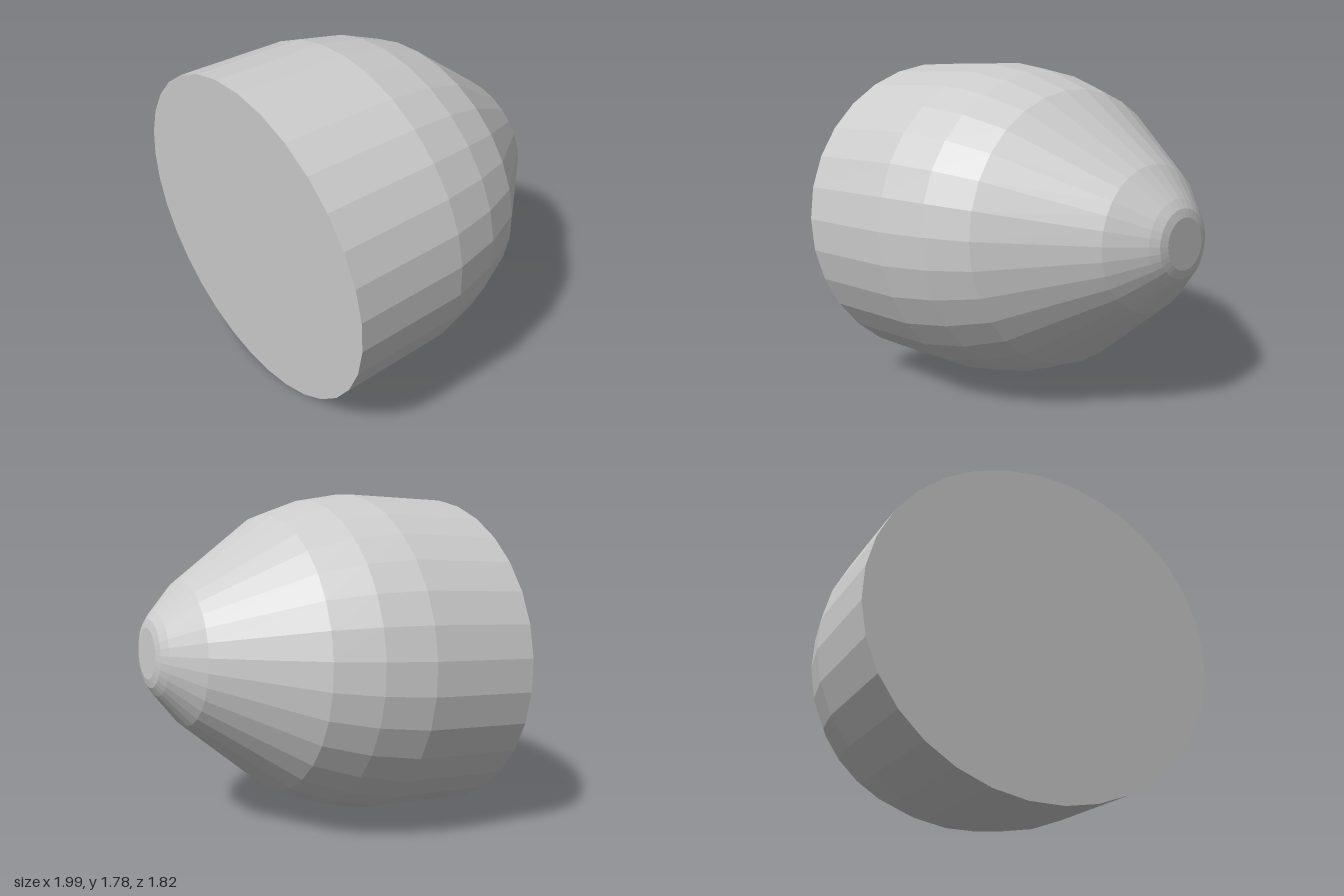
import * as THREE from 'three';

export function createModel() {
  const model = new THREE.Group();
  const deg = Math.PI / 180;

  // Relative radius and distance from the flat face, ending in a blunt nose
  const profile = [
    [0, 0], [1, 0], [1, 0.587], [0.944, 0.842], [0.843, 1.071], [0.432, 1.54],
    [0.25, 1.68], [0.2, 1.71], [0.15, 1.722], [0, 1.722],
  ].map(([r, h]) => new THREE.Vector2(r, h));

  const geometry = new THREE.LatheGeometry(profile, 32, -2.4 * deg);
  geometry.rotateX(-Math.PI / 2);      // nose points to the back
  geometry.scale(0.981, 0.873, 1);     // oval cross-section
  geometry.rotateZ(14 * deg);          // slight roll of the oval
  geometry.rotateX(0.047);             // nose tipped up
  geometry.rotateY(-0.08);             // nose swung to the left
  geometry.translate(-0.025, 0.88, 0.818);

  const material = new THREE.MeshStandardMaterial({ color: 0xcccccc, flatShading: true });
  const body = new THREE.Mesh(geometry, material);
  body.name = 'taperedBody';
  model.add(body);
  return model;
}
